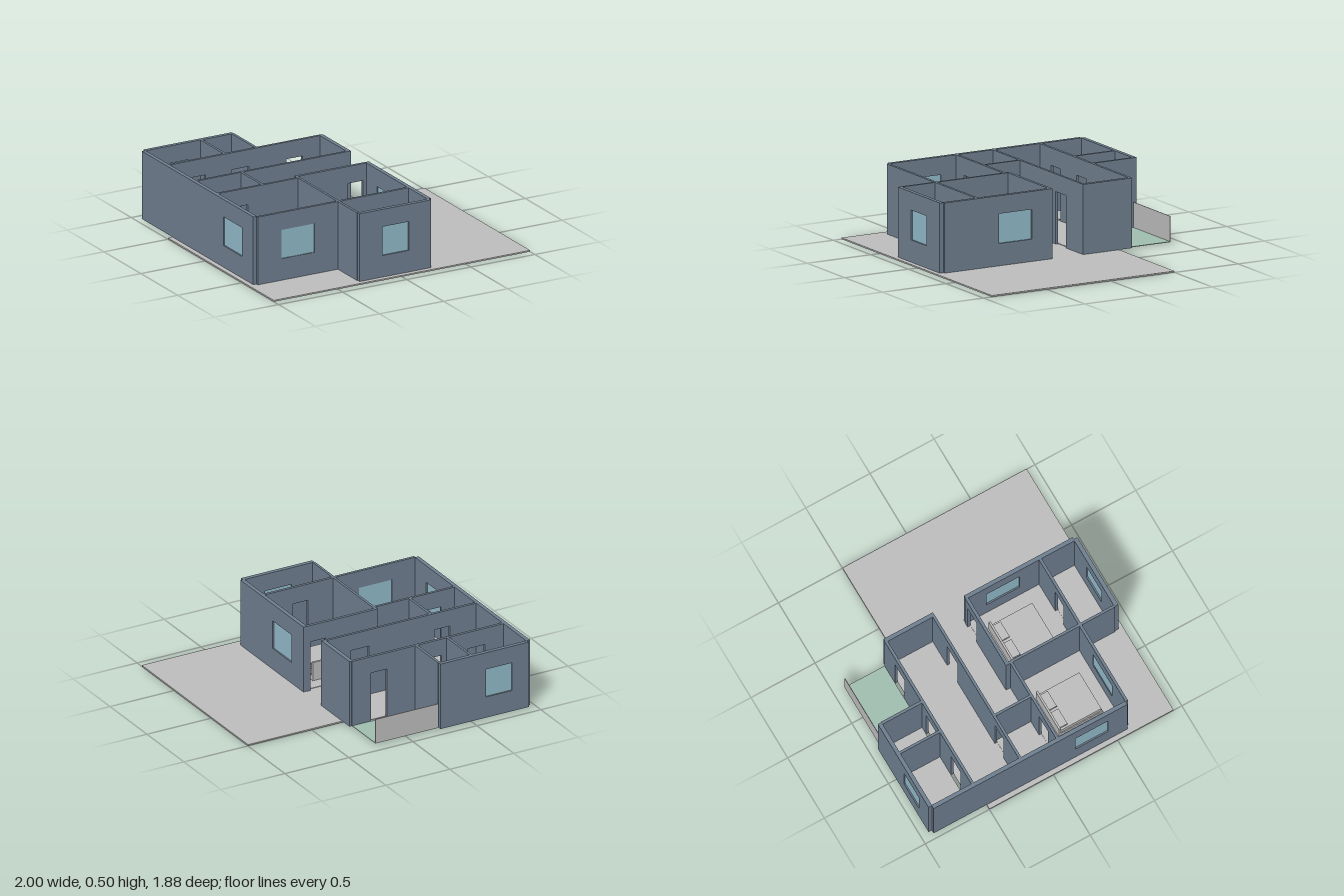
import * as THREE from 'three';

export function createModel() {
  const house = new THREE.Group();
  house.name = 'floorPlanHouse';
  const mat = (name, color, side = THREE.FrontSide) => {
    const m = new THREE.MeshStandardMaterial({ color, side });
    m.name = name;
    return m;
  };
  const slate = mat('slateWall', 0x708090);
  const concrete = mat('concrete', 0xbebebe);
  const green = mat('balconyGreen', 0xa0bfb0);
  const glass = mat('windowGlass', 0x92bccb);

  const BASE = 0.01, TOP = 0.497, DOOR = 0.375, SILL = 0.165, HEAD = 0.372;

  // Box given by its extents
  function box(name, material, x0, x1, y0, y1, z0, z1, parent = house) {
    const mesh = new THREE.Mesh(new THREE.BoxGeometry(x1 - x0, y1 - y0, z1 - z0), material);
    mesh.position.set((x0 + x1) / 2, (y0 + y1) / 2, (z0 + z1) / 2);
    mesh.name = name;
    parent.add(mesh);
  }

  // Wall running from a to b along an axis, t0..t1 thick, with door notches and glazed holes
  function wall(name, axis, a, b, t0, t1, { doors = [], windows = [] } = {}) {
    const shape = new THREE.Shape();
    shape.moveTo(a, BASE);
    for (const [s, e] of doors) {
      shape.lineTo(s, BASE);
      shape.lineTo(s, DOOR);
      shape.lineTo(e, DOOR);
      shape.lineTo(e, BASE);
    }
    shape.lineTo(b, BASE);
    shape.lineTo(b, TOP);
    shape.lineTo(a, TOP);
    shape.closePath();
    const mid = (t0 + t1) / 2;
    for (const [s, e] of windows) {
      const hole = new THREE.Path();
      hole.moveTo(s, SILL);
      hole.lineTo(s, HEAD);
      hole.lineTo(e, HEAD);
      hole.lineTo(e, SILL);
      hole.closePath();
      shape.holes.push(hole);
      if (axis === 'x') box(name + 'Window', glass, s, e, SILL, HEAD, mid - 0.004, mid + 0.004);
      else box(name + 'Window', glass, mid - 0.004, mid + 0.004, SILL, HEAD, s, e);
    }
    const geo = new THREE.ExtrudeGeometry(shape, { depth: t1 - t0, bevelEnabled: false });
    if (axis === 'z') geo.rotateY(-Math.PI / 2).translate(t1, 0, 0);
    else geo.translate(0, 0, t0);
    const mesh = new THREE.Mesh(geo, slate);
    mesh.name = name;
    house.add(mesh);
  }

  // Ground slab
  box('groundSlab', concrete, -1, 1, 0, BASE, -0.5, 0.935);

  // Outer walls
  wall('longSideWall', 'z', -0.915, 0.595, -0.965, -0.936, { windows: [[0.19, 0.445]] });
  wall('backWall', 'x', -0.94, -0.25, -0.94, -0.912, { windows: [[-0.81, -0.605]] });
  wall('livingSideWall', 'z', -0.6, -0.217, 0.235, 0.264);
  wall('bedroomSideWall', 'z', 0.025, 0.872, 0.235, 0.264, { windows: [[0.185, 0.443]] });
  wall('porchFrontWall', 'x', -0.31, 0.247, 0.87, 0.9, { windows: [[-0.132, 0.074]] });
  wall('bedroomFrontWall', 'x', -0.94, 0.236, 0.594, 0.614,
    { doors: [[-0.1, 0.015]], windows: [[-0.756, -0.498]] });

  // Partition walls
  wall('livingBackWall', 'x', -0.94, 0.247, -0.605, -0.585,
    { doors: [[-0.79, -0.66], [-0.45, -0.32], [-0.025, 0.1]] });
  wall('hallWall', 'x', -0.94, 0.236, -0.235, -0.216, { doors: [[-0.73, -0.61], [-0.1, 0.04]] });
  wall('bathBackPartition', 'z', -0.913, -0.604, -0.51, -0.492);
  wall('balconySideWall', 'z', -0.913, -0.604, -0.266, -0.246);
  wall('washroomPartition', 'z', -0.217, 0.056, -0.595, -0.577);
  wall('bedroomBackWall', 'x', -0.94, -0.313, 0.055, 0.074, { doors: [[-0.83, -0.705]] });
  wall('secondBedroomBackWall', 'x', -0.314, 0.236, 0.022, 0.044, { doors: [[0.09, 0.21]] });
  wall('bedroomDivider', 'z', 0.022, 0.872, -0.315, -0.297);

  // Thin room floors
  const rooms = [
    [-0.936, -0.51, -0.912, -0.605], [-0.492, -0.266, -0.912, -0.605],
    [-0.936, 0.235, -0.585, -0.235], [-0.936, -0.595, -0.216, 0.055],
    [-0.577, -0.315, -0.216, 0.055], [-0.936, -0.315, 0.074, 0.594],
    [-0.297, 0.235, 0.044, 0.594], [-0.297, 0.235, 0.614, 0.87],
  ];
  for (const [x0, x1, z0, z1] of rooms) box('roomFloor', concrete, x0, x1, BASE, 0.014, z0, z1);

  // Balcony with its low parapet
  box('balconyFloor', green, -0.246, 0.245, BASE, 0.014, -0.912, -0.605);
  box('balconyParapet', concrete, -0.246, 0.245, BASE, 0.19, -0.916, -0.912);

  // Beds
  function bed(name, x, z) {
    const g = new THREE.Group();
    g.name = name;
    g.position.set(x, 0, z);
    box('headboard', concrete, -0.157, 0.157, 0.014, 0.15, 0, 0.015, g);
    box('bedBase', concrete, -0.157, 0.157, 0.014, 0.05, 0.015, 0.343, g);
    box('mattress', concrete, -0.15, 0.15, 0.05, 0.09, 0.015, 0.336, g);
    for (const s of [-1, 1]) {
      box('pillow', concrete, s * 0.073 - 0.062, s * 0.073 + 0.062, 0.09, 0.108, 0.02, 0.08, g);
    }
    house.add(g);
  }
  bed('bed', -0.625, 0.166);
  bed('secondBed', -0.032, 0.138);

  return house;
}
